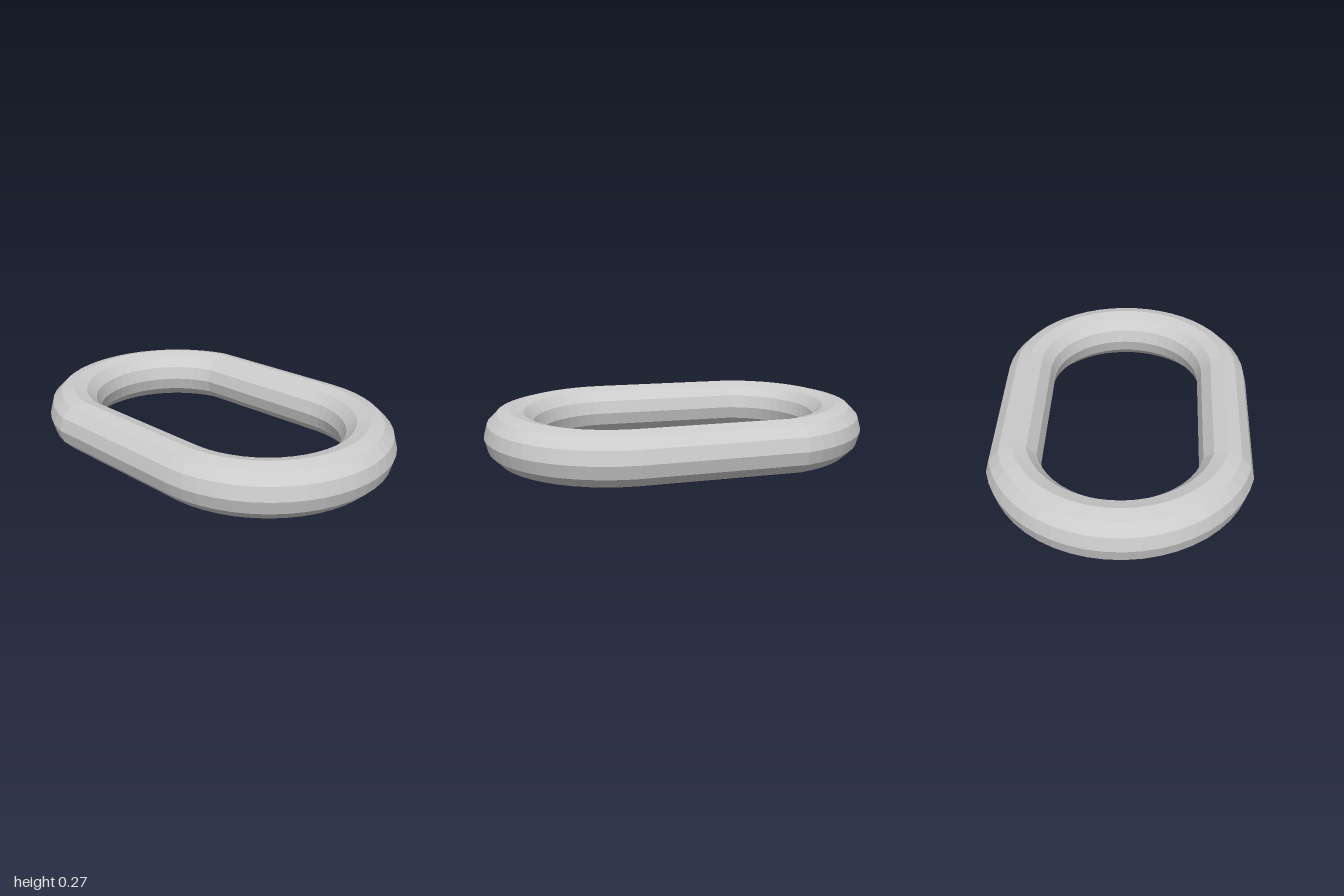
import * as THREE from 'three';

const BEND = 0.538;     // centreline radius of both end bends
const TUBE = 0.136;     // radius of the bar
const CENTRE = 0.326;   // distance of bend centres from the middle
const SIDES = 12;       // sides of the bar
const STEPS = 25;       // segments in a half turn

// Angles of the cross-sections: full half turn on the left, shorter bend on the right
function crossSections() {
  const rings = [];
  const step = Math.PI / STEPS;
  for (let i = 0; i <= STEPS; i++) rings.push({ x: CENTRE, a: -Math.PI / 2 + i * step });
  for (let i = 2; i <= STEPS - 2; i++) rings.push({ x: -CENTRE, a: Math.PI / 2 + i * step });
  return rings;
}

// Closed bar through the cross-sections; the last ring joins the first
function linkGeometry() {
  const rings = crossSections();
  const positions = [];
  const index = [];
  for (const { x, a } of rings) {
    for (let j = 0; j < SIDES; j++) {
      const t = (j / SIDES) * Math.PI * 2;
      const r = BEND + TUBE * Math.cos(t);
      positions.push(x + r * Math.cos(a), TUBE + TUBE * Math.sin(t), r * Math.sin(a));
    }
  }
  rings.forEach((_, i) => {
    const n = (i + 1) % rings.length;
    for (let j = 0; j < SIDES; j++) {
      const k = (j + 1) % SIDES;
      const p = i * SIDES + j, q = n * SIDES + j;
      const s = n * SIDES + k, u = i * SIDES + k;
      index.push(p, u, s, p, s, q);
    }
  });
  const geometry = new THREE.BufferGeometry();
  geometry.setAttribute('position', new THREE.Float32BufferAttribute(positions, 3));
  geometry.setIndex(index);
  const flat = geometry.toNonIndexed();
  flat.computeVertexNormals();
  return flat;
}

export function createModel() {
  const group = new THREE.Group();
  group.name = 'chainLink';
  const material = new THREE.MeshStandardMaterial({ color: 0xcccccc, flatShading: true });
  const link = new THREE.Mesh(linkGeometry(), material);
  link.name = 'linkBar';
  group.add(link);
  return group;
}
